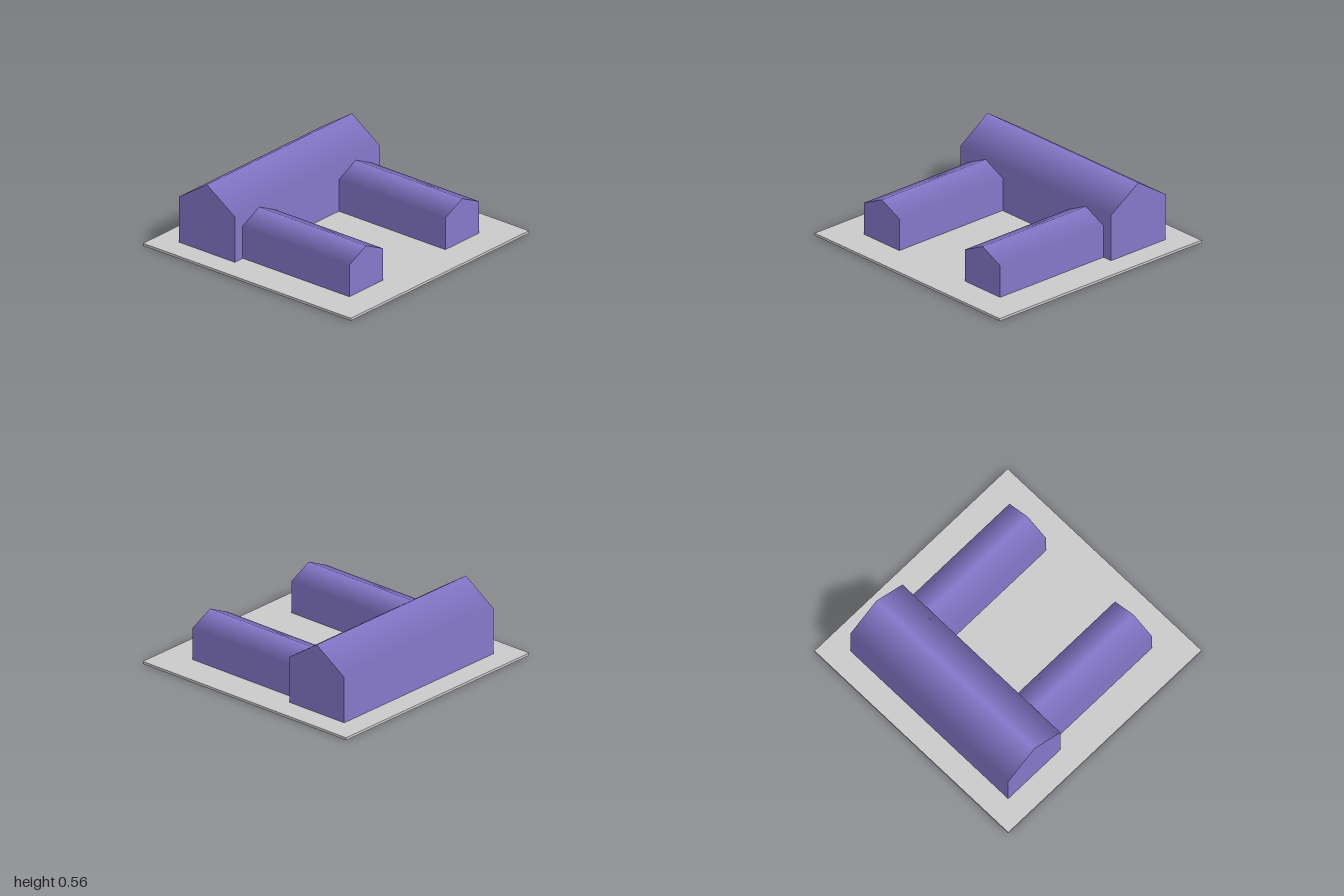
import * as THREE from 'three';

const purple = new THREE.MeshStandardMaterial({ color: 0x8577ca });
purple.name = 'building purple';
const grey = new THREE.MeshStandardMaterial({ color: 0xcacaca });
grey.name = 'ground grey';

// Gabled block running along z: box walls with a softly shaded two-sided roof
function gabledBlock(name, width, length, base, eave, ridge) {
  const block = new THREE.Group();
  block.name = name;

  const walls = new THREE.Mesh(new THREE.BoxGeometry(width, eave - base, length), purple);
  walls.name = 'walls';
  walls.position.y = (base + eave) / 2;

  // Half cylinder with two facets: normals turn from level at the eaves to upright at the ridge
  const roofGeometry = new THREE.CylinderGeometry(1, 1, 1, 2, 1, false, Math.PI / 2, Math.PI);
  roofGeometry.rotateX(Math.PI / 2);
  roofGeometry.scale(width / 2, ridge - eave, length);
  const roof = new THREE.Mesh(roofGeometry, purple);
  roof.name = 'roof';
  roof.position.y = eave;

  block.add(walls, roof);
  return block;
}

export function createModel() {
  const model = new THREE.Group();
  model.name = 'courtyardBuilding';

  // Ground slab
  const ground = new THREE.Mesh(new THREE.BoxGeometry(2, 0.02, 2), grey);
  ground.name = 'ground';
  ground.position.y = 0.01;
  model.add(ground);

  // Main hall across the back
  const hall = gabledBlock('mainHall', 0.54, 1.63, 0.02, 0.385, 0.565);
  hall.rotation.y = Math.PI / 2;
  hall.position.z = -0.545;
  model.add(hall);

  // Two wings reaching forward from the hall
  const rightWing = gabledBlock('rightWing', 0.38, 1.035, 0.025, 0.28, 0.37);
  rightWing.position.set(-0.542, 0, 0.2375);
  const leftWing = gabledBlock('leftWing', 0.38, 1.03, 0.02, 0.275, 0.365);
  leftWing.position.set(0.543, 0, 0.235);
  model.add(rightWing, leftWing);

  return model;
}
